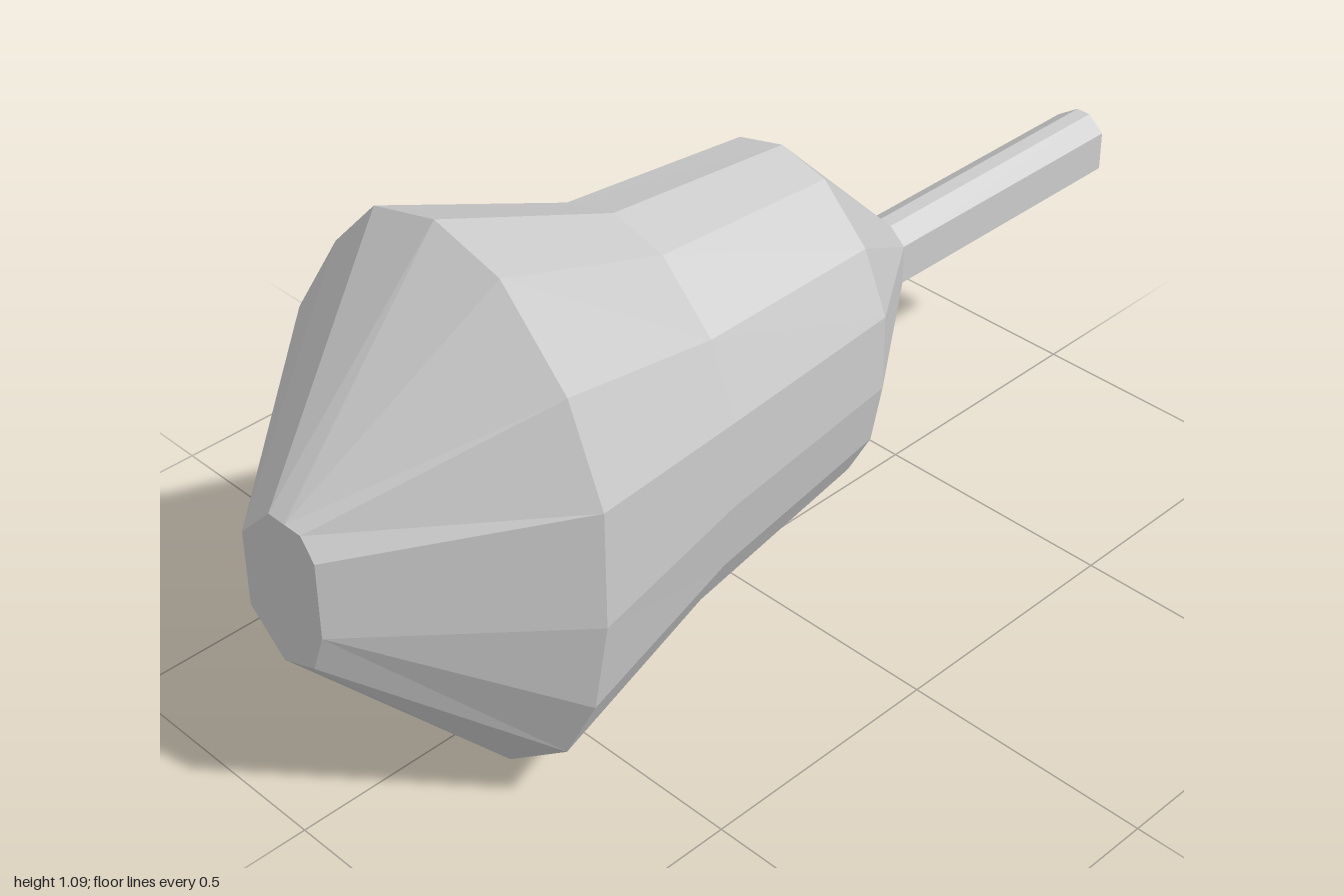
import * as THREE from 'three';

const material = new THREE.MeshStandardMaterial({ color: 0xcccccc, flatShading: true, side: THREE.DoubleSide });

// Outlines run clockwise seen from the front, starting at the top.
const rim = [
  [0.04, 1.09], [0.19, 1.05], [0.335, 0.9], [0.41, 0.72], [0.41, 0.49], [0.375, 0.3], [0.3, 0.155], [0.15, 0.04],
  [0, 0], [-0.19, 0.04], [-0.3, 0.19], [-0.375, 0.345], [-0.41, 0.53], [-0.34, 0.75], [-0.22, 0.935], [-0.11, 1.05],
];
const nose = [
  [0.04, 0.68], [0.08, 0.68], [0.11, 0.64], [0.11, 0.49], [0.08, 0.41],
  [0, 0.38], [-0.08, 0.45], [-0.08, 0.6], [0, 0.68],
];
const rod = [
  [0.04, 0.6], [0.075, 0.57], [0.075, 0.49], [0.01, 0.49],
  [-0.035, 0.5], [0, 0.53], [-0.035, 0.57], [0.01, 0.6],
];

// Which small-outline corner each of the 16 rim corners runs to.
const noseMap = [0, 0, 1, 2, 3, 3, 4, 5, 5, 5, 6, 6, 7, 7, 8, 8];
const rodMap = [0, 0, 1, 1, 2, 2, 2, 3, 3, 3, 4, 4, 5, 6, 7, 7];

const scaledRim = (cx, sx, cy, sy) => rim.map(([x, y]) => [cx + x * sx, cy + (y - 0.545) * sy]);
const toShape = (pts) => new THREE.Shape(pts.map(([x, y]) => new THREE.Vector2(x, y)));

// Skin between consecutive rings, ordered from front to back.
function loft(rings) {
  const pos = [];
  const tri = (a, b, c) => {
    const n = b.clone().sub(a).cross(c.clone().sub(a));
    if (n.length() > 1e-7) for (const v of [a, b, c]) pos.push(v.x, v.y, v.z);
  };
  const at = ({ z, pts }, i) => new THREE.Vector3(...pts[i % pts.length], z);
  for (let r = 0; r < rings.length - 1; r++) {
    for (let i = 0; i < rim.length; i++) {
      const a = at(rings[r], i), b = at(rings[r], i + 1);
      const c = at(rings[r + 1], i + 1), d = at(rings[r + 1], i);
      tri(a, b, c);
      tri(a, c, d);
    }
  }
  const g = new THREE.BufferGeometry();
  g.setAttribute('position', new THREE.Float32BufferAttribute(pos, 3));
  g.computeVertexNormals();
  return g;
}

export function createModel() {
  const group = new THREE.Group();
  const add = (name, geometry, z = 0) => {
    const mesh = new THREE.Mesh(geometry, material);
    mesh.name = name;
    mesh.position.z = z;
    group.add(mesh);
  };

  // Faceted body: nose cone, flared rim, waist, shoulder and neck
  add('body', loft([
    { z: 1, pts: noseMap.map((i) => nose[i]) },
    { z: 0.665, pts: rim },
    { z: 0.295, pts: scaledRim(0.015, 0.77, 0.53, 0.755) },
    { z: -0.11, pts: scaledRim(0.015, 0.683, 0.545, 0.654) },
    { z: -0.41, pts: rodMap.map((i) => rod[i]) },
  ]));

  // Flat tip closing the nose
  add('noseTip', new THREE.ShapeGeometry(toShape(nose)), 1);

  // Thin grooved rod at the back
  add('rod', new THREE.ExtrudeGeometry(toShape(rod), { depth: 0.59, bevelEnabled: false }), -1);

  return group;
}
